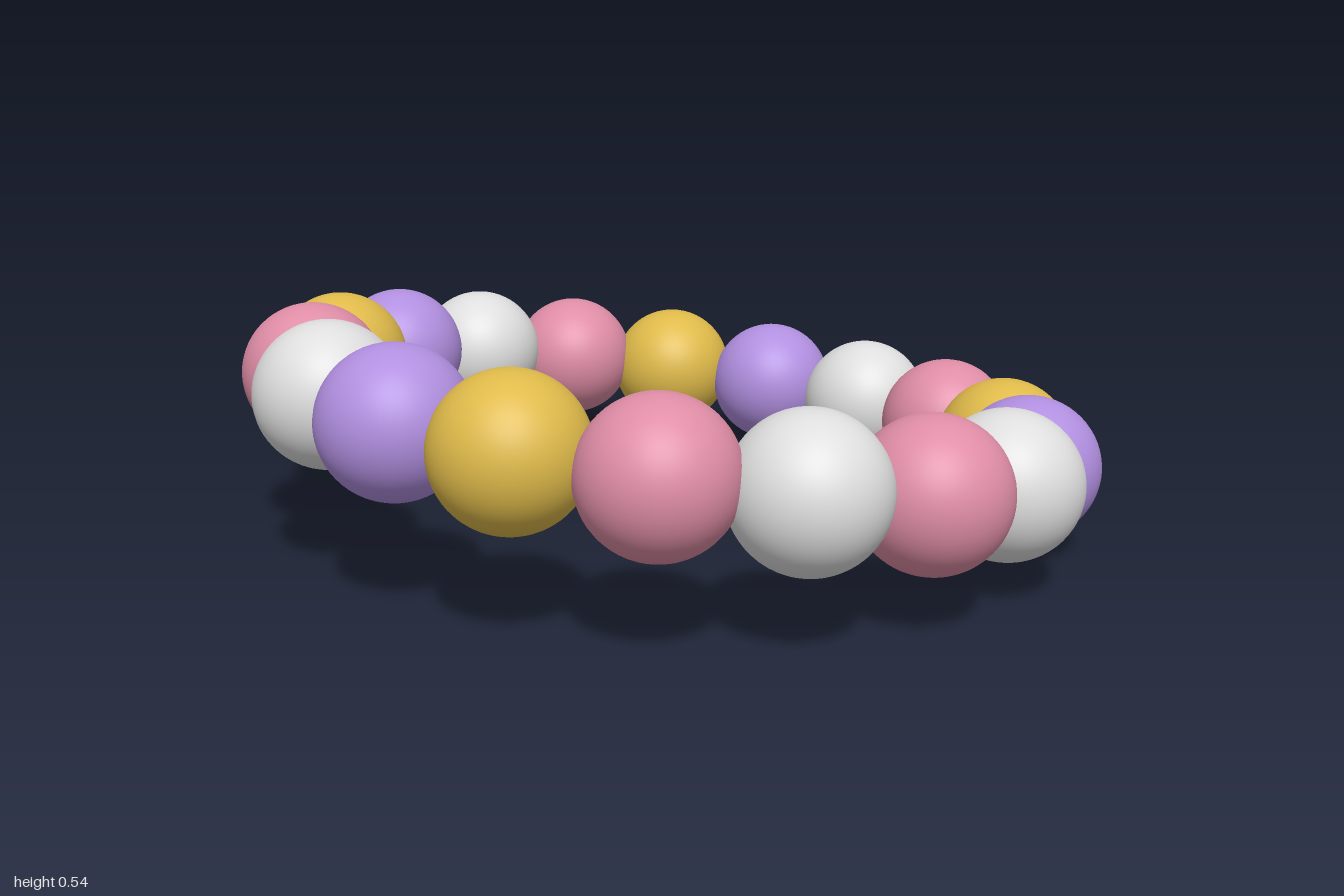
import * as THREE from 'three';

const BEADS = 18;
const BEAD_RADIUS = 0.157;
const RING = { x: 0.843, z: 0.777, centreY: 0.2725, rise: 0.117 }; // oval ring, front lifted

function material(name, color) {
  const m = new THREE.MeshStandardMaterial({ color });
  m.name = name;
  return m;
}

export function createModel() {
  const group = new THREE.Group();
  group.name = 'beadBracelet';

  // Repeating colour order along the string
  const colours = [
    material('pearl white', 0xdedede),
    material('rose pink', 0xdf8da6),
    material('gold', 0xdfba4a),
    material('lavender', 0xb18fe0),
  ];
  const sphere = new THREE.SphereGeometry(BEAD_RADIUS, 48, 32);

  // Beads run from just past +x, round by the front, and back to +x
  for (let i = 1; i <= BEADS; i++) {
    const a = (i / BEADS) * Math.PI * 2;
    const bead = new THREE.Mesh(sphere, colours[(i - 1) % colours.length]);
    bead.name = `bead${i}`;
    bead.position.set(
      RING.x * Math.cos(a),
      RING.centreY + RING.rise * Math.sin(a),
      RING.z * Math.sin(a)
    );
    group.add(bead);
  }
  return group;
}
